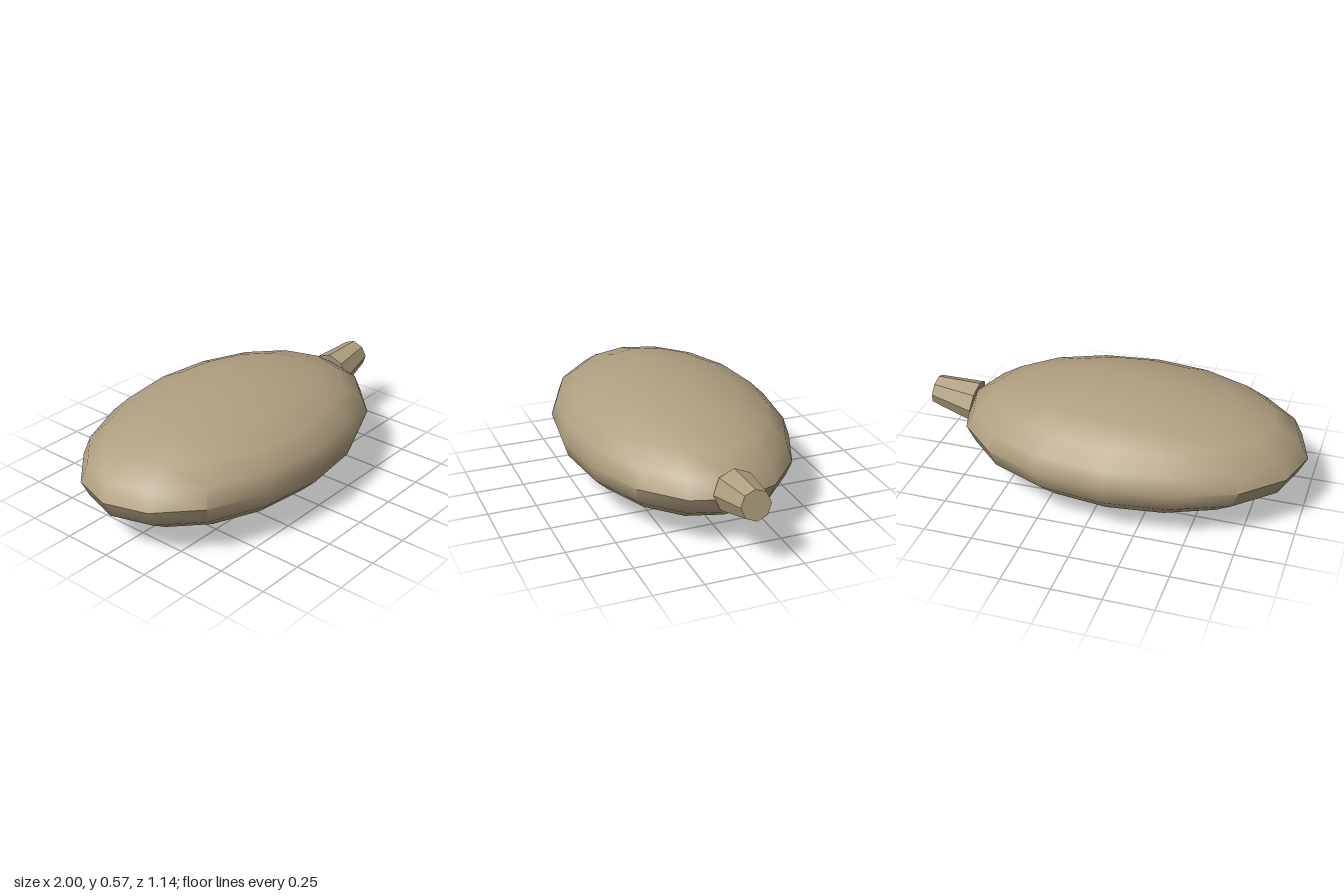
import * as THREE from 'three';
import { toCreasedNormals } from 'three/addons/utils/BufferGeometryUtils.js';

export function createModel() {
  const group = new THREE.Group();
  const color = 0xb09f80;

  // Flattened oval body, creased only along the sharp rim at its ends
  const bodyGeometry = new THREE.SphereGeometry(1, 16, 10);
  bodyGeometry.scale(0.9, 0.285, 0.572);
  const body = new THREE.Mesh(
    toCreasedNormals(bodyGeometry, 0.75),
    new THREE.MeshStandardMaterial({ color })
  );
  body.name = 'body';
  body.position.set(-0.1, 0.287, 0);
  group.add(body);

  // Tapered eight-sided stem, tilted slightly upward
  const stem = new THREE.Mesh(
    new THREE.CylinderGeometry(0.076, 0.111, 0.23, 8),
    new THREE.MeshStandardMaterial({ color, flatShading: true })
  );
  stem.name = 'stem';
  stem.rotation.z = -Math.PI / 2 + 0.17;
  stem.position.set(0.873, 0.328, 0);
  group.add(stem);

  return group;
}
